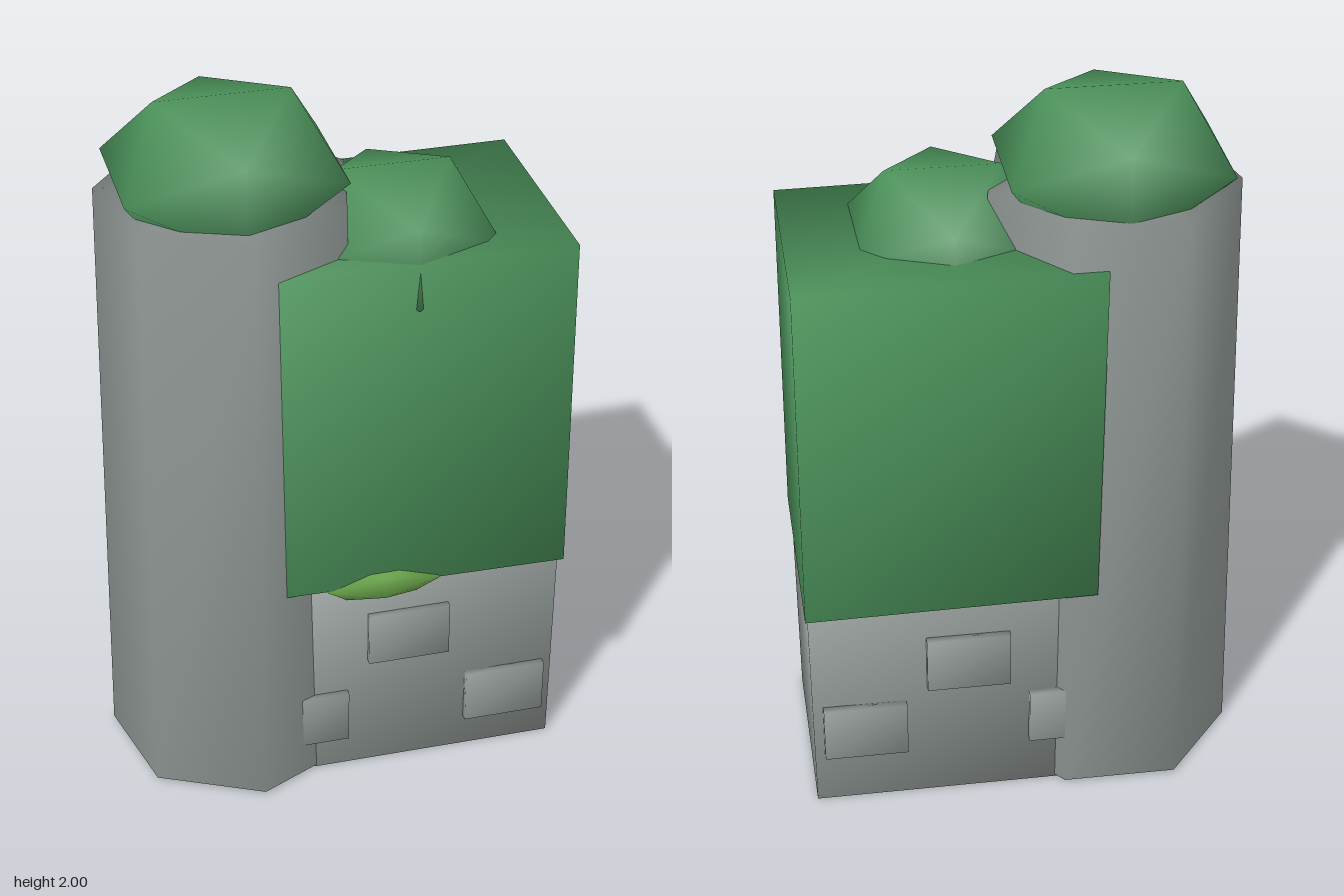
import * as THREE from 'three';
import { mergeVertices } from 'three/addons/utils/BufferGeometryUtils.js';

const mat = (name, color) => {
  const m = new THREE.MeshStandardMaterial({ color });
  m.name = name;
  return m;
};

// Weld all corners so the shading is smooth across every edge
function soften(geometry) {
  geometry.deleteAttribute('normal');
  geometry.deleteAttribute('uv');
  const welded = mergeVertices(geometry, 1e-4);
  welded.computeVertexNormals();
  return welded;
}

export function createModel() {
  const group = new THREE.Group();
  const stone = mat('stone grey', 0x8e9693);
  const leaf = mat('leaf green', 0x4a9059);
  const moss = mat('light moss green', 0x6aa64a);

  function add(name, geometry, material, x = 0, y = 0, z = 0) {
    const mesh = new THREE.Mesh(soften(geometry), material);
    mesh.name = name;
    mesh.position.set(x, y, z);
    group.add(mesh);
    return mesh;
  }

  // Slightly skewed box: corners listed per level as
  // [front left-hand, front right-hand, back left-hand, back right-hand] of [x, y, z]
  function skewBox(bottom, top) {
    const g = new THREE.BoxGeometry(2, 2, 2);
    const p = g.attributes.position;
    for (let i = 0; i < p.count; i++) {
      const level = p.getY(i) > 0 ? top : bottom;
      const corner = (p.getX(i) > 0 ? 1 : 0) + (p.getZ(i) > 0 ? 0 : 2);
      p.setXYZ(i, ...level[corner]);
    }
    return g;
  }

  // Low-poly rounded clump
  function clump(name, material, pos, size) {
    const g = new THREE.IcosahedronGeometry(1, 0);
    g.scale(...size);
    return add(name, g, material, ...pos);
  }

  // Seven-sided tower, leaning in slightly towards the top
  add('tower', new THREE.CylinderGeometry(0.345, 0.364, 1.733, 7), stone, -0.258, 0.8785, -0.008);

  // Stone house base
  add('houseBase', skewBox(
    [[-0.095, 0.006, 0.275], [0.602, 0.004, 0.272], [-0.1, 0.006, -0.305], [0.602, 0.004, -0.305]],
    [[-0.12, 0.66, 0.275], [0.608, 0.66, 0.272], [-0.12, 0.66, -0.305], [0.608, 0.66, -0.305]],
  ), stone);

  // Tall leafy block above the base
  add('leafyBlock', skewBox(
    [[-0.185, 0.645, 0.312], [0.615, 0.63, 0.304], [-0.185, 0.64, -0.335], [0.615, 0.63, -0.337]],
    [[-0.225, 1.62, 0.308], [0.61, 1.617, 0.296], [-0.2, 1.62, -0.335], [0.612, 1.617, -0.35]],
  ), leaf);

  // Leafy crowns on the tower and on the block
  clump('towerCrown', leaf, [-0.26, 1.8, -0.02], [0.344, 0.235, 0.342]);
  clump('blockCrown', leaf, [0.18, 1.59, 0.037], [0.295, 0.22, 0.312]).rotation.x = -0.04;

  // Moss tuft on the front ledge
  clump('mossTuft', moss, [0.095, 0.638, 0.284], [0.188, 0.062, 0.05]);

  // Raised stone bricks on the front and back walls: [x, y, z]
  const bricks = [
    [0.175, 0.44, 0.278], [0.462, 0.185, 0.278], [-0.115, 0.185, 0.278],
    [0.17, 0.445, -0.316], [0.46, 0.24, -0.316], [-0.115, 0.24, -0.316],
  ];
  for (const [x, y, z] of bricks) {
    add('brick', new THREE.BoxGeometry(0.232, 0.16, 0.032), stone, x, y, z);
  }

  return group;
}
